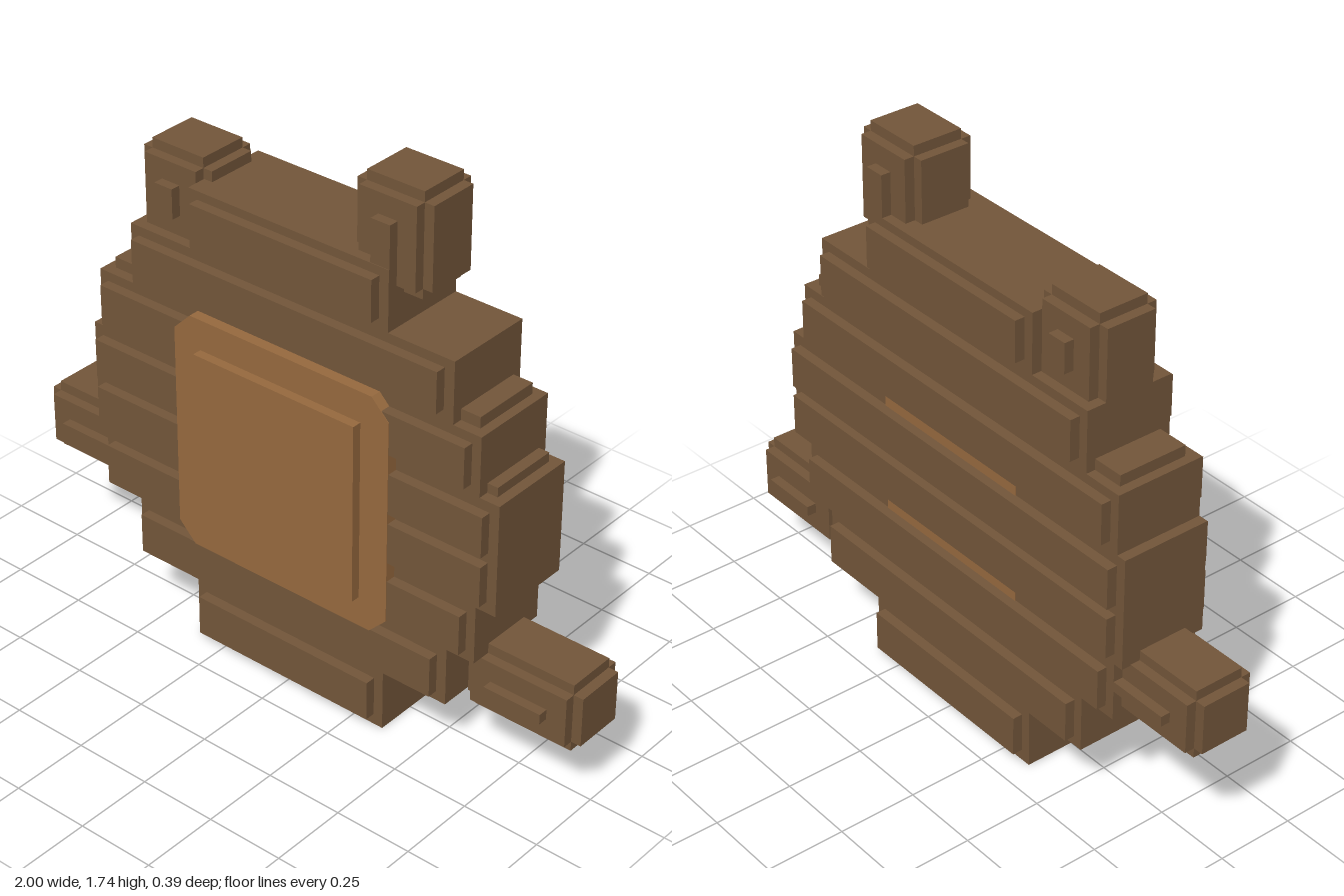
import * as THREE from 'three';

export function createModel() {
  const root = new THREE.Group();
  root.name = 'blockCreature';

  const brown = new THREE.MeshStandardMaterial({ color: 0x73563a });
  brown.name = 'brown fur';
  const tan = new THREE.MeshStandardMaterial({ color: 0x96693e });
  tan.name = 'tan belly';

  function group(name) {
    const g = new THREE.Group();
    g.name = name;
    root.add(g);
    return g;
  }

  // Box given by its minimum and maximum on each axis
  function block(parent, name, material, [x0, x1], [y0, y1], [z0, z1]) {
    const mesh = new THREE.Mesh(new THREE.BoxGeometry(x1 - x0, y1 - y0, z1 - z0), material);
    mesh.position.set((x0 + x1) / 2, (y0 + y1) / 2, (z0 + z1) / 2);
    mesh.name = name;
    parent.add(mesh);
  }

  // Stacked body layers
  const body = group('body');
  const depth = [-0.16, 0.13];
  const layers = [
    [-0.355, 0.355, 0, 0.2],
    [-0.58, 0.58, 0.2, 0.39],
    [-0.71, 0.675, 0.39, 1.13],
    [-0.742, 0.742, 0.58, 0.94],
    [-0.58, 0.58, 1.13, 1.325],
    [-0.355, 0.355, 1.325, 1.515],
  ];
  for (const [x0, x1, y0, y1] of layers) block(body, 'bodyLayer', brown, [x0, x1], [y0, y1], depth);

  // Narrow steps that soften the outline
  block(body, 'sideStep', brown, [0.6, 0.71], [0.55, 0.97], [-0.13, 0.097]);
  block(body, 'shoulderStep', brown, [-0.68, 0.645], [1.1, 1.165], [-0.13, 0.097]);

  // Raised horizontal bands, showing on both front and back
  const bands = [
    [-0.323, 0.323, 0.035],
    [-0.55, 0.547, 0.23],
    [-0.68, 0.645, 0.422],
    [-0.71, 0.71, 0.615],
    [-0.71, 0.71, 0.777],
    [-0.68, 0.645, 0.97],
    [-0.55, 0.547, 1.165],
    [-0.323, 0.323, 1.358],
  ];
  for (const [x0, x1, y] of bands) block(body, 'raisedBand', brown, [x0, x1], [y, y + 0.13], [-0.192, 0.163]);

  // Belly: plate with cut corners, raised panel and a panel behind the back bands
  const belly = group('belly');
  const w = 0.39, low = 0.357, high = 1.133, cut = 0.06;
  const outline = new THREE.Shape([
    [-w + cut, low], [w - cut, low], [w, low + cut], [w, high - cut],
    [w - cut, high], [-w + cut, high], [-w, high - cut], [-w, low + cut],
  ].map(([x, y]) => new THREE.Vector2(x, y)));
  const plate = new THREE.Mesh(
    new THREE.ExtrudeGeometry(outline, { depth: 0.045, bevelEnabled: false }), tan);
  plate.position.z = 0.12;
  plate.name = 'bellyPlate';
  belly.add(plate);
  block(belly, 'bellyPanel', tan, [-0.292, 0.292], [0.455, 1.035], [0.15, 0.195]);
  block(belly, 'backPanel', tan, [-0.292, 0.292], [0.455, 1.035], [-0.163, -0.155]);

  // Rounded block limb: three crossed boxes that leave stepped edges
  const s = 0.032;
  function limb(name, [x0, x1], [y0, y1], bumpX, bumpY) {
    const g = group(name);
    const inX = [x0 + s, x1 - s], inY = [y0 + s, y1 - s];
    const wide = [-0.129, 0.097], narrow = [-0.097, 0.065];
    block(g, name + 'Width', brown, [x0, x1], inY, narrow);
    block(g, name + 'Depth', brown, inX, inY, wide);
    block(g, name + 'Height', brown, inX, [y0, y1], narrow);
    block(g, name + 'Ridge', brown, bumpX, bumpY, [-0.16, 0.128]);
  }
  limb('rightEar', [-0.58, -0.325], [1.26, 1.58], [-0.485, -0.42], [1.39, 1.485]);
  limb('leftEar', [0.193, 0.45], [1.422, 1.743], [0.29, 0.355], [1.455, 1.647]);
  limb('rightArm', [-1, -0.61], [0.39, 0.615], [-0.903, -0.7], [0.487, 0.52]);
  limb('leftArm', [0.61, 1], [0.197, 0.422], [0.71, 0.903], [0.293, 0.326]);

  return root;
}
